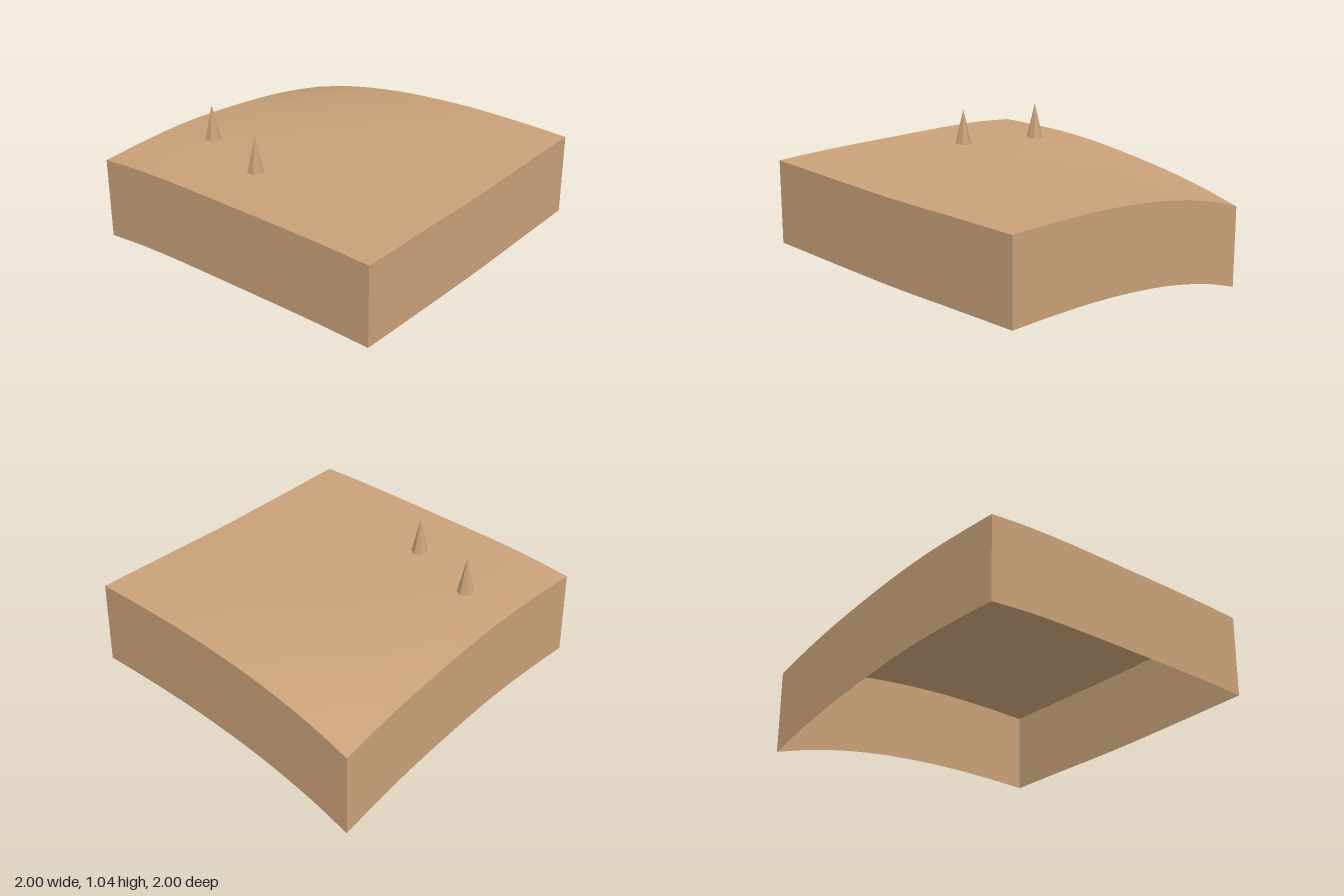
import * as THREE from 'three';

const DEPTH = 0.53; // height of the side walls
const CELLS = 24;

// Smooth height curve through evenly spaced samples, t from 0 to 1
function edgeCurve(heights) {
  const curve = new THREE.CatmullRomCurve3(
    heights.map((h, i) => new THREE.Vector3(i / (heights.length - 1), h, 0)));
  return t => curve.getPoint(t).y;
}

// Lower rim heights, running from -1 to +1
const back = edgeCurve([0, 0.08, 0.139, 0.183, 0.213, 0.234, 0.245, 0.25, 0.25]);
const front = edgeCurve([0.253, 0.277, 0.29, 0.296, 0.3, 0.304, 0.307, 0.307, 0.303]);
const low = edgeCurve([0, 0.068, 0.124, 0.168, 0.205, 0.234, 0.25, 0.254, 0.253]);
const high = edgeCurve([0.25, 0.253, 0.256, 0.258, 0.262, 0.271, 0.281, 0.292, 0.303]);
const mix = THREE.MathUtils.lerp;

// Ground height: blend of the four edges, slightly sunk in the middle
function ground(x, z) {
  const u = (x + 1) / 2, v = (z + 1) / 2;
  const corners = mix(mix(back(0), back(1), u), mix(front(0), front(1), u), v);
  const blend = mix(back(u), front(u), v) + mix(low(v), high(v), u) - corners;
  return blend + DEPTH - 0.03 * (1 - x * x) * (1 - z * z);
}

export function createModel() {
  const group = new THREE.Group();
  const sand = new THREE.MeshStandardMaterial({ color: 0xc8a078, side: THREE.DoubleSide });
  sand.name = 'sand';

  function add(name, geometry) {
    const mesh = new THREE.Mesh(geometry, sand);
    mesh.name = name;
    group.add(mesh);
    return mesh;
  }

  // Gently rolling top surface
  const top = new THREE.PlaneGeometry(2, 2, CELLS, CELLS).rotateX(-Math.PI / 2);
  const p = top.attributes.position;
  for (let i = 0; i < p.count; i++) p.setY(i, ground(p.getX(i), p.getZ(i)));
  top.computeVertexNormals();
  add('ground', top);

  // Four walls following the edges of the ground, open underneath
  const sides = [['frontWall', 0], ['leftWall', 1], ['backWall', 2], ['rightWall', 3]];
  for (const [name, turn] of sides) {
    const wall = new THREE.PlaneGeometry(2, DEPTH, CELLS, 1)
      .translate(0, -DEPTH / 2, 1).rotateY(turn * Math.PI / 2);
    const w = wall.attributes.position;
    for (let i = 0; i < w.count; i++) {
      w.setY(i, w.getY(i) + ground(w.getX(i), w.getZ(i)));
    }
    add(name, wall);
  }

  // Seven-sided spikes standing on the ground
  for (const [x, z, base, tip] of [[-0.667, 0.417, 0.8, 1.03], [-0.167, 0.583, 0.81, 1.04]]) {
    const cone = new THREE.ConeGeometry(0.053, tip - base, 7).rotateY(Math.PI).toNonIndexed();
    cone.computeVertexNormals();
    add('spike', cone).position.set(x, (base + tip) / 2, z);
  }
  return group;
}
